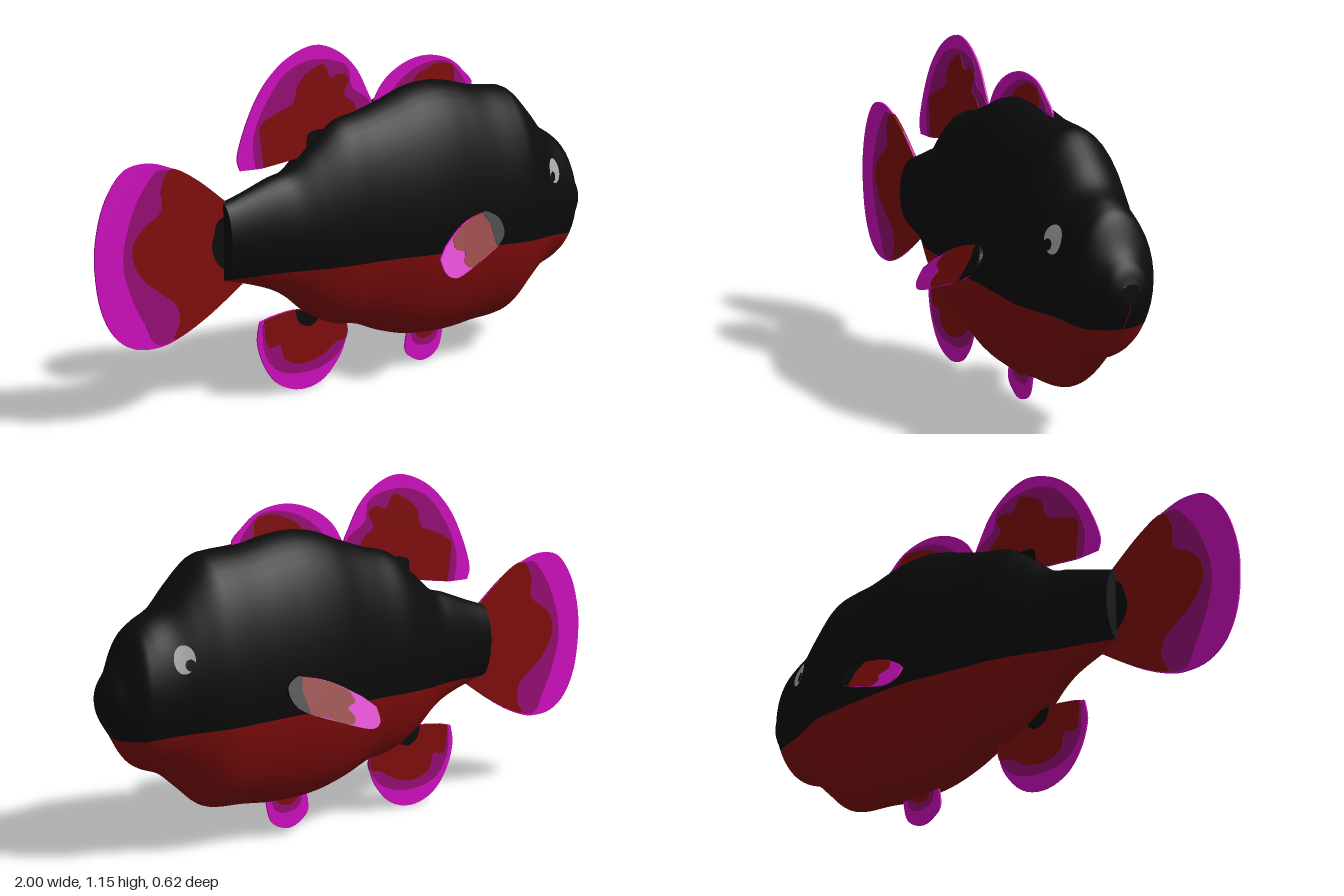
import * as THREE from 'three';

const mat = (name, color) => Object.assign(new THREE.MeshStandardMaterial({ color }), { name });
const V3 = (a, b, c) => new THREE.Vector3(a, b, c);

// body stations: x, top, bottom, half width, height of the colour line
const stations = [
  [-0.53, 0.675, 0.42, 0.055, 0.425], [-0.45, 0.70, 0.40, 0.065, 0.427], [-0.35, 0.735, 0.365, 0.083, 0.43],
  [-0.28, 0.755, 0.325, 0.1, 0.431], [-0.2, 0.82, 0.26, 0.125, 0.432], [-0.1, 0.895, 0.21, 0.15, 0.434],
  [0, 0.92, 0.19, 0.16, 0.435], [0.1, 0.95, 0.15, 0.175, 0.435], [0.2, 0.985, 0.122, 0.193, 0.434],
  [0.3, 0.998, 0.11, 0.2, 0.432], [0.4, 0.988, 0.11, 0.2, 0.43], [0.5, 0.965, 0.12, 0.2, 0.426],
  [0.6, 0.955, 0.126, 0.2, 0.421], [0.66, 0.94, 0.145, 0.193, 0.418], [0.73, 0.875, 0.205, 0.172, 0.413],
  [0.8, 0.80, 0.262, 0.15, 0.408], [0.87, 0.758, 0.29, 0.14, 0.402], [0.91, 0.72, 0.32, 0.13, 0.398],
  [0.95, 0.635, 0.385, 0.095, 0.395], [0.985, 0.585, 0.44, 0.068, 0.39], [1.0, 0.54, 0.48, 0.035, 0.39],
];
const spine = new THREE.CatmullRomCurve3(stations.map(s => V3(s[0], s[1], s[2])), false, 'catmullrom', 0.5);
const girth = new THREE.CatmullRomCurve3(stations.map(s => V3(s[0], s[3], s[4])), false, 'catmullrom', 0.5);

function section(t) {
  const p = spine.getPoint(t), g = girth.getPoint(t);
  return { x: p.x, cy: (p.y + p.z) / 2, ry: (p.y - p.z) / 2, w: g.y, split: g.z };
}

// z of the body's skin above a point (x, y)
function skinZ(x, y) {
  let lo = 0, hi = 1;
  for (let i = 0; i < 30; i++) {
    const m = (lo + hi) / 2;
    if (section(m).x < x) lo = m; else hi = m;
  }
  const s = section(lo);
  return s.w * Math.sqrt(Math.max(0, 1 - ((y - s.cy) / s.ry) ** 2));
}

// oval rings: first M spans run over the back, the next M under the belly
function bodyGeometry() {
  const N = 120, M = 28, R = 2 * M, pos = [], back = [], belly = [];
  for (let i = 0; i <= N; i++) {
    const s = section(i / N);
    const a0 = Math.asin(THREE.MathUtils.clamp((s.split - s.cy) / s.ry, -0.9995, 0.99));
    for (let j = 0; j < R; j++) {
      const a = j < M ? a0 + (Math.PI - 2 * a0) * j / M
        : Math.PI - a0 + (Math.PI + 2 * a0) * (j - M) / M;
      pos.push(s.x, s.cy + s.ry * Math.sin(a), s.w * Math.cos(a));
    }
  }
  for (let i = 0; i < N; i++) for (let j = 0; j < R; j++) {
    const k = (j + 1) % R, a = i * R + j, b = i * R + k;
    (j < M ? back : belly).push(a, a + R, b, b, a + R, b + R);
  }
  const geo = new THREE.BufferGeometry();
  geo.setAttribute('position', new THREE.Float32BufferAttribute(pos, 3));
  geo.setIndex([...back, ...belly]);
  geo.addGroup(0, back.length, 0);
  geo.addGroup(back.length, belly.length, 1);
  geo.computeVertexNormals();
  return geo;
}

// thin plate with a smooth outline; higher layers are slightly thicker
function plate(points, layer) {
  const pts = points.map(p => new THREE.Vector2(p[0], p[1]));
  const shape = new THREE.Shape();
  shape.moveTo(pts[0].x, pts[0].y);
  shape.splineThru(pts.slice(1));
  const depth = 0.006 + layer * 0.0025;
  return new THREE.ExtrudeGeometry(shape, { depth, bevelEnabled: false, curveSegments: 4 }).translate(0, 0, -depth / 2);
}

// each fin: outlines for edge, band, centre and root, stacked in that order
const fins = {
  tailFin: [
    [[-0.46, 0.63], [-0.52, 0.68], [-0.63, 0.765], [-0.73, 0.815], [-0.81, 0.835], [-0.89, 0.82], [-0.95, 0.75], [-0.985, 0.66],
      [-1, 0.55], [-0.985, 0.41], [-0.94, 0.31], [-0.87, 0.255], [-0.78, 0.243], [-0.7, 0.262], [-0.6, 0.31], [-0.46, 0.4]],
    [[-0.5, 0.66], [-0.63, 0.76], [-0.75, 0.81], [-0.81, 0.77], [-0.865, 0.68], [-0.9, 0.55], [-0.88, 0.44],
      [-0.83, 0.33], [-0.77, 0.25], [-0.6, 0.312], [-0.48, 0.4]],
    [[-0.46, 0.63], [-0.52, 0.68], [-0.63, 0.765], [-0.72, 0.808], [-0.76, 0.75], [-0.76, 0.68], [-0.83, 0.63], [-0.865, 0.58],
      [-0.86, 0.52], [-0.82, 0.46], [-0.77, 0.42], [-0.71, 0.37], [-0.7, 0.31], [-0.72, 0.26], [-0.6, 0.311], [-0.46, 0.4]],
    [[-0.5, 0.64], [-0.55, 0.62], [-0.565, 0.58], [-0.575, 0.54], [-0.56, 0.49], [-0.53, 0.46], [-0.5, 0.45]],
  ],
  rearDorsalFin: [
    [[-0.46, 0.77], [-0.47, 0.82], [-0.43, 0.93], [-0.37, 1.03], [-0.28, 1.11], [-0.17, 1.15], [-0.08, 1.13], [0, 1.07],
      [0.05, 0.99], [0.075, 0.92], [0, 0.87], [-0.15, 0.81], [-0.25, 0.785], [-0.38, 0.768]],
    [[-0.4, 0.77], [-0.41, 0.86], [-0.37, 0.96], [-0.29, 1.06], [-0.2, 1.1], [-0.11, 1.1], [-0.03, 1.07], [-0.01, 1.0],
      [0.06, 0.95], [0.04, 0.89], [-0.15, 0.81], [-0.25, 0.785]],
    [[-0.37, 0.77], [-0.38, 0.85], [-0.38, 0.91], [-0.3, 0.95], [-0.25, 0.97], [-0.23, 1.03], [-0.18, 1.07], [-0.13, 1.085],
      [-0.1, 1.04], [-0.06, 1.05], [-0.025, 1.03], [-0.045, 0.98], [0, 0.94], [0, 0.88], [-0.15, 0.81], [-0.25, 0.785]],
    [[-0.2, 0.82], [-0.195, 0.86], [-0.165, 0.872], [-0.13, 0.87], [-0.12, 0.83]],
  ],
  frontDorsalFin: [
    [[0.07, 0.92], [0.12, 1.0], [0.2, 1.055], [0.3, 1.08], [0.4, 1.065], [0.47, 1.02], [0.51, 0.955], [0.3, 0.92]],
    [[0.12, 0.93], [0.19, 1.0], [0.27, 1.045], [0.37, 1.06], [0.44, 1.03], [0.48, 0.95], [0.3, 0.92]],
    [[0.22, 0.95], [0.26, 1.01], [0.31, 1.035], [0.37, 1.05], [0.43, 1.03], [0.43, 0.95]],
  ],
  analFin: [
    [[-0.39, 0.26], [-0.4, 0.19], [-0.37, 0.1], [-0.31, 0.03], [-0.22, 0], [-0.13, 0.02], [-0.06, 0.09], [-0.033, 0.16],
      [-0.04, 0.21], [-0.12, 0.255], [-0.25, 0.278], [-0.35, 0.27]],
    [[-0.38, 0.25], [-0.375, 0.16], [-0.33, 0.09], [-0.25, 0.06], [-0.14, 0.065], [-0.06, 0.11], [-0.04, 0.2], [-0.25, 0.27]],
    [[-0.375, 0.262], [-0.36, 0.17], [-0.31, 0.17], [-0.29, 0.115], [-0.22, 0.09], [-0.14, 0.105], [-0.08, 0.14], [-0.04, 0.15],
      [-0.042, 0.21], [-0.12, 0.255], [-0.25, 0.278], [-0.35, 0.268]],
    [[-0.25, 0.277], [-0.235, 0.235], [-0.2, 0.215], [-0.165, 0.225], [-0.15, 0.26]],
  ],
  pelvicFin: [
    [[0.24, 0.15], [0.225, 0.06], [0.26, 0.02], [0.305, 0.005], [0.355, 0.02], [0.385, 0.06], [0.4, 0.15]],
    [[0.25, 0.15], [0.26, 0.08], [0.31, 0.06], [0.36, 0.075], [0.385, 0.15]],
    [[0.27, 0.15], [0.275, 0.1], [0.31, 0.085], [0.35, 0.1], [0.37, 0.15]],
  ],
};

export function createModel() {
  const model = new THREE.Group();
  const black = mat('black', 0x0b0b0b), red = mat('dark red', 0x820c0c), magenta = mat('magenta', 0xd00ec0);
  const purple = mat('purple', 0x980c76), grey = mat('eye grey', 0xacacac);
  const add = (parent, name, geo, material) => {
    const mesh = new THREE.Mesh(geo, material);
    mesh.name = name;
    parent.add(mesh);
    return mesh;
  };

  // body with closed ends
  add(model, 'body', bodyGeometry(), [black, red]);
  for (const [name, t, turn] of [['bodyEnd', 0, -1], ['noseTip', 1, 1]]) {
    const s = section(t);
    add(model, name, new THREE.CircleGeometry(1, 32).scale(s.w, s.ry, 1).rotateY(turn * Math.PI / 2).translate(s.x, s.cy, 0), black);
  }

  // upright fins on the centre line
  for (const [name, layers] of Object.entries(fins)) {
    const fin = new THREE.Group();
    fin.name = name;
    layers.forEach((pts, i) => add(fin, name + ['Edge', 'Band', 'Centre', 'Root'][i], plate(pts, i), [magenta, purple, red, black][i]));
    model.add(fin);
  }

  // paired side fins slope outwards; eyes lie on the skin
  const slope = geo => {
    const p = geo.attributes.position;
    for (let i = 0; i < p.count; i++) p.setZ(i, p.getZ(i) + 0.203 + (0.555 - p.getY(i)) * 0.6);
    geo.computeVertexNormals();
    return geo;
  };
  const skinDisc = (cx, cy, rx, ry, lift) => {
    const geo = new THREE.RingGeometry(0.001, 1, 28, 4).scale(rx, ry, 1).rotateZ(0.15).translate(cx, cy, 0);
    const p = geo.attributes.position;
    for (let i = 0; i < p.count; i++) p.setZ(i, skinZ(p.getX(i), p.getY(i)) + lift);
    geo.computeVertexNormals();
    return geo;
  };
  for (const [side, flip] of [['front', 1], ['back', -1]]) {
    const half = new THREE.Group();
    half.name = side + 'SideParts';
    half.scale.z = flip;
    add(half, 'pectoralFinEdge', slope(plate([[0.15, 0.44], [0.155, 0.395], [0.2, 0.38], [0.3, 0.41], [0.41, 0.45], [0.455, 0.485],
      [0.455, 0.53], [0.42, 0.553], [0.36, 0.55], [0.28, 0.525], [0.19, 0.475]], 0)), magenta);
    add(half, 'pectoralFinCentre', slope(plate([[0.235, 0.498], [0.225, 0.465], [0.26, 0.45], [0.245, 0.42], [0.27, 0.402], [0.35, 0.43],
      [0.41, 0.45], [0.44, 0.5], [0.42, 0.553], [0.36, 0.55], [0.28, 0.525]], 1)), red);
    add(half, 'pectoralFinRoot', slope(plate([[0.405, 0.448], [0.455, 0.483], [0.458, 0.53], [0.42, 0.556], [0.395, 0.556],
      [0.41, 0.52]], 2)), black);
    add(half, 'eye', skinDisc(0.787, 0.645, 0.032, 0.044, 0.003), grey);
    add(half, 'pupil', skinDisc(0.772, 0.628, 0.015, 0.018, 0.005), black);
    model.add(half);
  }
  return model;
}
